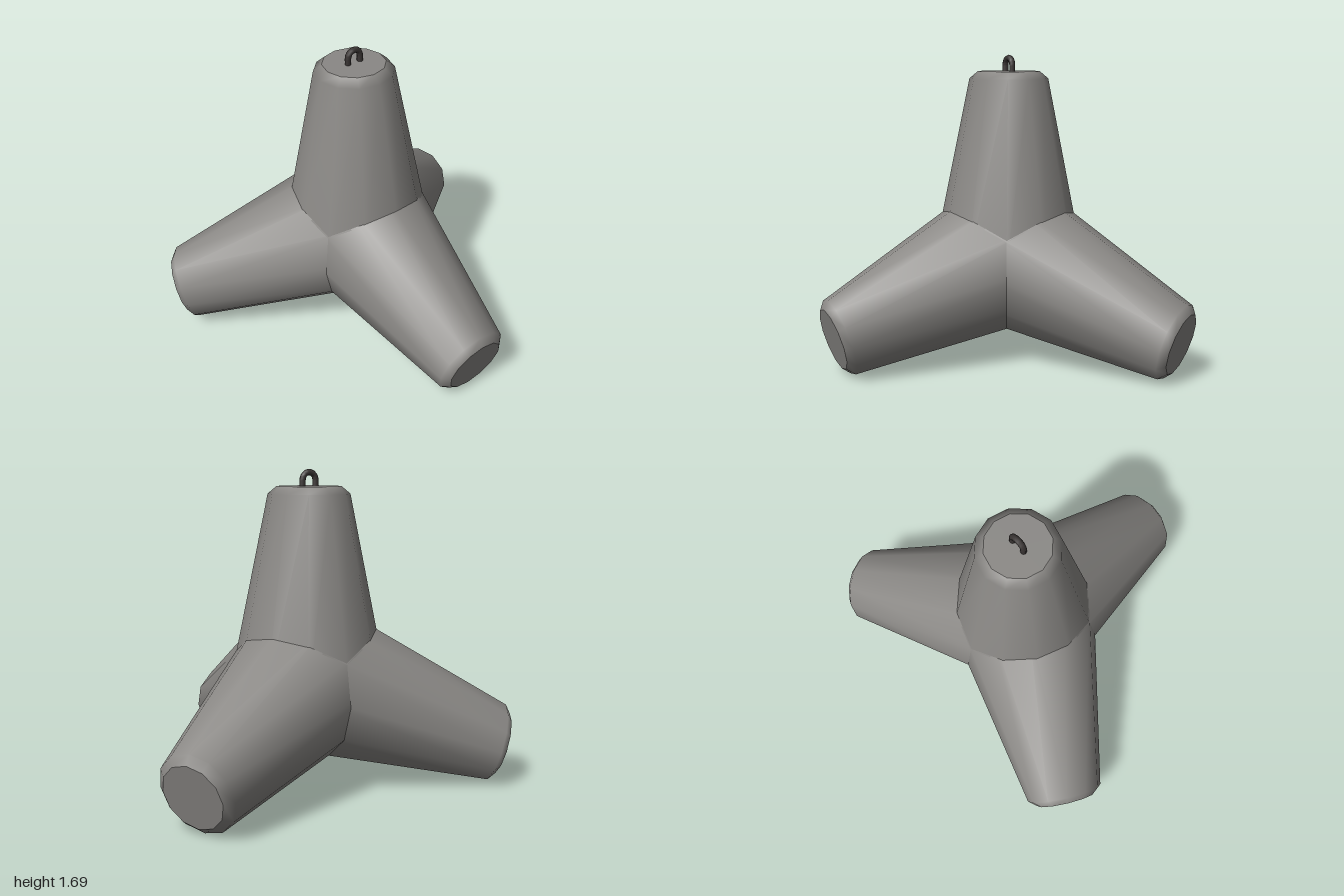
import * as THREE from 'three';

const SIDES = 12;
const HUB_Y = 0.57;

// Tapered limb lofted through rings lying in the xy plane of the limb.
// Each ring: [x, y, tilt of the ring's axis in degrees, radius]
function limbGeometry(rings) {
  const pos = [], index = [];
  const addRing = ([x, y, tilt, r]) => {
    const a = THREE.MathUtils.degToRad(tilt);
    for (let j = 0; j < SIDES; j++) {
      const t = (j / SIDES) * Math.PI * 2;
      const u = r * Math.cos(t);
      pos.push(x - Math.sin(a) * u, y + Math.cos(a) * u, r * Math.sin(t));
    }
  };
  rings.forEach(addRing);
  for (let i = 0; i < rings.length - 1; i++) {
    for (let j = 0; j < SIDES; j++) {
      const k = (j + 1) % SIDES;
      const a = i * SIDES + j, b = i * SIDES + k;
      index.push(a, b, b + SIDES, a, b + SIDES, a + SIDES);
    }
  }
  // flat end face with its own vertices
  const last = rings[rings.length - 1];
  const start = pos.length / 3;
  addRing(last);
  pos.push(last[0], last[1], 0);
  for (let j = 0; j < SIDES; j++) {
    index.push(start + SIDES, start + j, start + ((j + 1) % SIDES));
  }
  const g = new THREE.BufferGeometry();
  g.setAttribute('position', new THREE.Float32BufferAttribute(pos, 3));
  g.setIndex(index);
  g.computeVertexNormals();
  return g;
}

export function createModel() {
  const concrete = new THREE.MeshStandardMaterial({ color: 0x8a8885 });
  concrete.name = 'concrete';
  const iron = new THREE.MeshStandardMaterial({ color: 0x3a3534 });
  iron.name = 'darkIron';

  const model = new THREE.Group();
  model.name = 'tetrapod';
  const body = new THREE.Group();
  body.name = 'body';
  body.position.x = -0.207;
  model.add(body);

  const add = (name, geometry, material) => {
    const mesh = new THREE.Mesh(geometry, material);
    mesh.name = name;
    body.add(mesh);
    return mesh;
  };

  // upright limb with chamfered end
  add('upperLimb', limbGeometry([
    [0, HUB_Y, 90, 0.42],
    [0, 1.56, 90, 0.219],
    [0, 1.6, 90, 0.172],
  ]), concrete);

  // three sloping legs, 120 degrees apart
  const leg = limbGeometry([
    [0, HUB_Y, -19.5, 0.422],
    [1.02, 0.212, -15.4, 0.216],
    [1.055, 0.204, -15.2, 0.172],
  ]);
  ['leftLeg', 'backLeg', 'frontLeg'].forEach((name, i) => {
    add(name, leg, concrete).rotation.y = (i * Math.PI * 2) / 3;
  });

  // lifting loop: half ring on two short posts
  const path = new THREE.CurvePath();
  const R = 0.039, y = 1.634;
  const points = [new THREE.Vector3(0, 1.58, R)];
  for (let i = 0; i <= 8; i++) {
    const t = (i / 8) * Math.PI;
    points.push(new THREE.Vector3(0, y + R * Math.sin(t), R * Math.cos(t)));
  }
  points.push(new THREE.Vector3(0, 1.58, -R));
  for (let i = 1; i < points.length; i++) path.add(new THREE.LineCurve3(points[i - 1], points[i]));
  add('liftingLoop', new THREE.TubeGeometry(path, 24, 0.017, 8, false), iron);

  return model;
}
